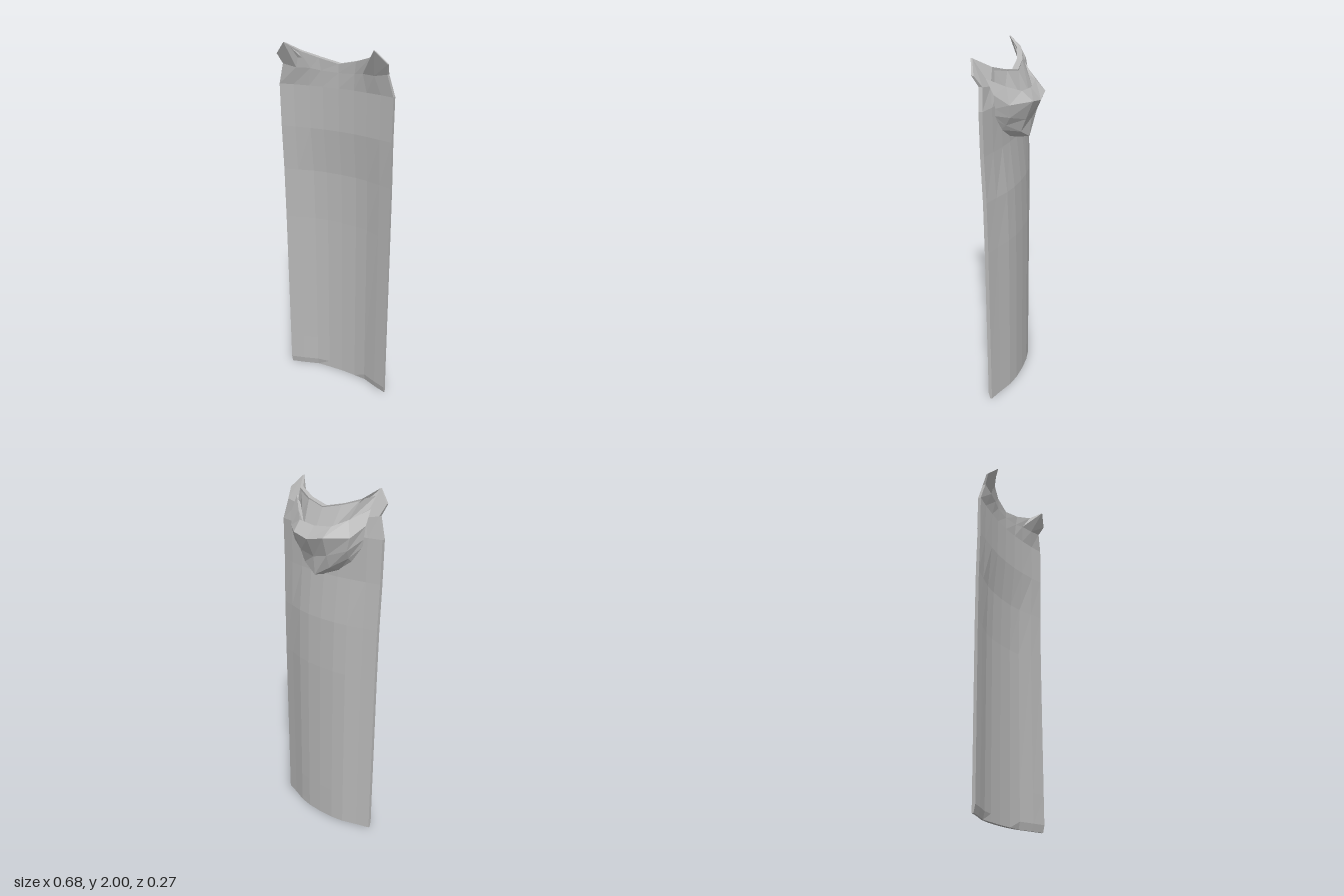
import * as THREE from 'three';

const cloth = new THREE.MeshStandardMaterial({ color: 0xb8b8b8, side: THREE.DoubleSide });
cloth.name = 'greyCloth';

// Flat-shaded mesh from a list of four-cornered faces
function facetedMesh(name, quads) {
  const pos = [];
  for (const [a, b, c, d] of quads) pos.push(...a, ...b, ...c, ...a, ...c, ...d);
  const geo = new THREE.BufferGeometry();
  geo.setAttribute('position', new THREE.Float32BufferAttribute(pos, 3));
  geo.computeVertexNormals();
  const mesh = new THREE.Mesh(geo, cloth);
  mesh.name = name;
  return mesh;
}

// Half row (centre to +x edge) mirrored into a full row from -x to +x
const mirrorRow = (half) => [
  ...half.slice(1).reverse().map(([x, ...rest]) => [-x, ...rest]),
  ...half,
];

// Long curved cape: front rows, each point [x, y, z, thickness]
function buildCape() {
  const cols = [0, 0.09, 0.165, 0.25, 0.325];
  const lowZ = [-0.02, -0.016, -0.002, 0.03, 0.054];
  const highZ = [0.02, 0.024, 0.034, 0.048, 0.066];
  // [height, half-width scale, blend from deep to shallow curve]
  const levels = [
    [0, 1, 0], [0.04, 1, 0], [0.2, 1.002, 0], [1.0, 1.018, 0.04],
    [1.29, 1.025, 0.25], [1.54, 1.033, 0.9], [1.77, 1.043, 1],
  ];
  const halves = levels.map(([y, s, k]) => cols.map((x, i) => {
    const bevel = y === 0 && i > 1 ? 0.009 : 0;
    return [x * s, y, THREE.MathUtils.lerp(lowZ[i], highZ[i], k) - bevel, 0.02 - bevel];
  }));
  // Neckline and the corner flaps that flare up and forward
  halves.push(
    [[0, 1.85, 0.02, 0.025], [0.1, 1.855, 0.03, 0.025], [0.155, 1.865, 0.045, 0.022],
      [0.23, 1.865, 0.065, 0.02], [0.307, 1.88, 0.075, 0.02]],
    [[0, 1.895, 0.02, 0.033], [0.11, 1.92, 0.034, 0.03], [0.208, 1.953, 0.07, 0.025],
      [0.26, 2.0, 0.132, 0.008], [0.323, 1.935, 0.105, 0.012]],
  );
  const fronts = halves.map(mirrorRow).map((r) => r.map(([x, y, z]) => [x, y, z]));
  const backs = halves.map(mirrorRow).map((r) => r.map(([x, y, z, t]) => [x, y, z - t]));
  const rings = fronts.map((f, i) => [...f, ...backs[i].slice().reverse()]);
  const quads = [];
  for (let i = 0; i < rings.length - 1; i++) {
    const lo = rings[i], hi = rings[i + 1], n = lo.length;
    for (let j = 0; j < n; j++) {
      const m = (j + 1) % n;
      quads.push([lo[j], lo[m], hi[m], hi[j]]);
    }
  }
  // Thin strips closing the hem and the neckline
  const top = rings.length - 1;
  for (let j = 0; j < fronts[0].length - 1; j++) {
    quads.push([fronts[top][j], fronts[top][j + 1], backs[top][j + 1], backs[top][j]]);
    quads.push([backs[0][j], backs[0][j + 1], fronts[0][j + 1], fronts[0][j]]);
  }
  return facetedMesh('cape', quads);
}

// Lowered hood: each station runs neck, fold, rim, ridge, underside, tail, back
function buildHood() {
  const half = [
    [[0, 1.89, -0.014], [0, 1.78, -0.072], [0, 1.81, -0.08], [0, 1.75, -0.135],
      [0, 1.65, -0.085], [0, 1.55, -0.075], [0, 1.535, 0.002]],
    [[0.11, 1.915, 0.005], [0.09, 1.79, -0.056], [0.107, 1.82, -0.07], [0.098, 1.77, -0.126],
      [0.088, 1.67, -0.085], [0.085, 1.6, -0.058], [0.1, 1.575, 0.008]],
    [[0.2, 1.948, 0.045], [0.155, 1.84, 0.0], [0.17, 1.852, -0.012], [0.2, 1.77, -0.038],
      [0.18, 1.7, -0.034], [0.17, 1.655, -0.008], [0.175, 1.63, 0.018]],
    [[0.25, 1.965, 0.1], [0.238, 1.9, 0.067], [0.25, 1.905, 0.062], [0.252, 1.83, 0.022],
      [0.242, 1.76, 0.02], [0.235, 1.72, 0.025], [0.232, 1.7, 0.034]],
  ];
  const stations = [
    ...half.slice(1).reverse().map((s) => s.map(([x, y, z]) => [-x, y, z])),
    ...half,
  ];
  const quads = [];
  for (let j = 0; j < stations.length - 1; j++) {
    const a = stations[j], b = stations[j + 1];
    for (let k = 0; k < a.length - 1; k++) quads.push([a[k], b[k], b[k + 1], a[k + 1]]);
  }
  return facetedMesh('loweredHood', quads);
}

export function createModel() {
  const group = new THREE.Group();
  group.name = 'hoodedCape';
  group.add(buildCape(), buildHood());
  return group;
}
